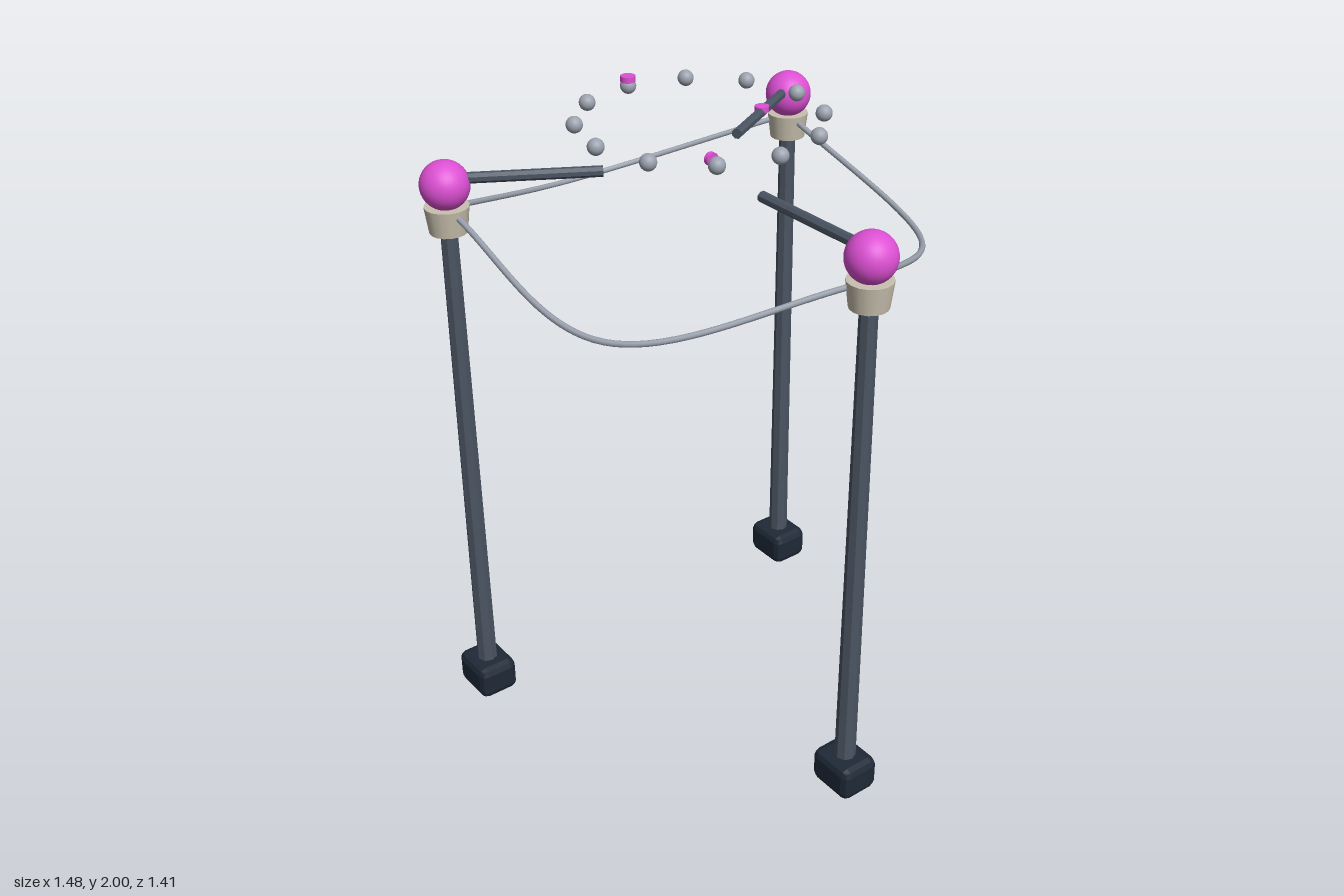
import * as THREE from 'three';
import { RoundedBoxGeometry } from 'three/addons/geometries/RoundedBoxGeometry.js';

const CENTER_X = -0.072; // axis of the three-fold layout
const POST_R = 0.731;

const flat = (color) => new THREE.MeshStandardMaterial({ color, flatShading: true });
const smooth = (color) => new THREE.MeshStandardMaterial({ color });

const steel = flat(0x4b5563);
const dark = flat(0x1f2937);
const cream = smooth(0xc8c0ae);
const grey = smooth(0x9ca3af);
const pink = smooth(0xdd50d4);

function add(parent, name, geometry, material, x = 0, y = 0, z = 0) {
  const mesh = new THREE.Mesh(geometry, material);
  mesh.name = name;
  mesh.position.set(x, y, z);
  parent.add(mesh);
  return mesh;
}

// Point on a circle around the layout axis
function polar(radius, angle, y) {
  return new THREE.Vector3(CENTER_X + radius * Math.cos(angle), y, radius * Math.sin(angle));
}

function createPost(angle) {
  const post = new THREE.Group();
  post.name = 'post';
  post.position.copy(polar(POST_R, angle, 0));

  add(post, 'foot', new RoundedBoxGeometry(0.162, 0.114, 0.134, 1, 0.024), dark, 0, 0.058, 0);
  add(post, 'pole', new THREE.CylinderGeometry(0.026, 0.033, 1.62, 8), steel, 0, 0.9, 0);
  add(post, 'collar', new THREE.CylinderGeometry(0.066, 0.056, 0.08, 16), cream, 0, 1.705, 0);
  add(post, 'ball', new THREE.SphereGeometry(0.073, 32, 20), pink, 0, 1.808, 0);

  // Arm pointing from the ball to the middle
  const armGeometry = new THREE.CylinderGeometry(0.0165, 0.0165, 0.45, 8);
  armGeometry.rotateY(Math.PI / 8);
  armGeometry.rotateZ(Math.PI / 2);
  armGeometry.translate(-0.225, 0, 0);
  const arm = add(post, 'arm', armGeometry, steel, 0, 1.826, 0);
  arm.rotation.y = -angle;
  return post;
}

export function createModel() {
  const model = new THREE.Group();
  model.name = 'tripodFrame';

  for (let i = 0; i < 3; i++) {
    const angle = (i * Math.PI * 2) / 3;
    model.add(createPost(angle));

    // Cable sagging outward and down to the next post
    const cable = new THREE.CatmullRomCurve3([
      polar(POST_R, angle, 1.738),
      polar(0.659, angle + Math.PI / 3, 1.576),
      polar(POST_R, angle + (Math.PI * 2) / 3, 1.738),
    ]);
    add(model, 'cable', new THREE.TubeGeometry(cable, 48, 0.009, 8), grey);
  }

  // Ring of small beads
  const beadGeometry = new THREE.SphereGeometry(0.0245, 20, 14);
  for (let i = 0; i < 12; i++) {
    const p = polar(0.357, (i * Math.PI) / 6, 1.969);
    add(model, 'bead', beadGeometry, grey, p.x, p.y, p.z);
  }

  // Small marker discs: on a bead, on the rear arm, and facing sideways
  const discGeometry = new THREE.CylinderGeometry(0.023, 0.023, 0.018, 20);
  add(model, 'beadMarker', discGeometry, pink, -0.429, 1.991, 0);
  add(model, 'armMarker', discGeometry, pink, -0.318, 1.836, -0.426);
  add(model, 'sideMarker', discGeometry, pink, -0.439, 1.656, -0.32).rotation.z = Math.PI / 2;

  return model;
}
